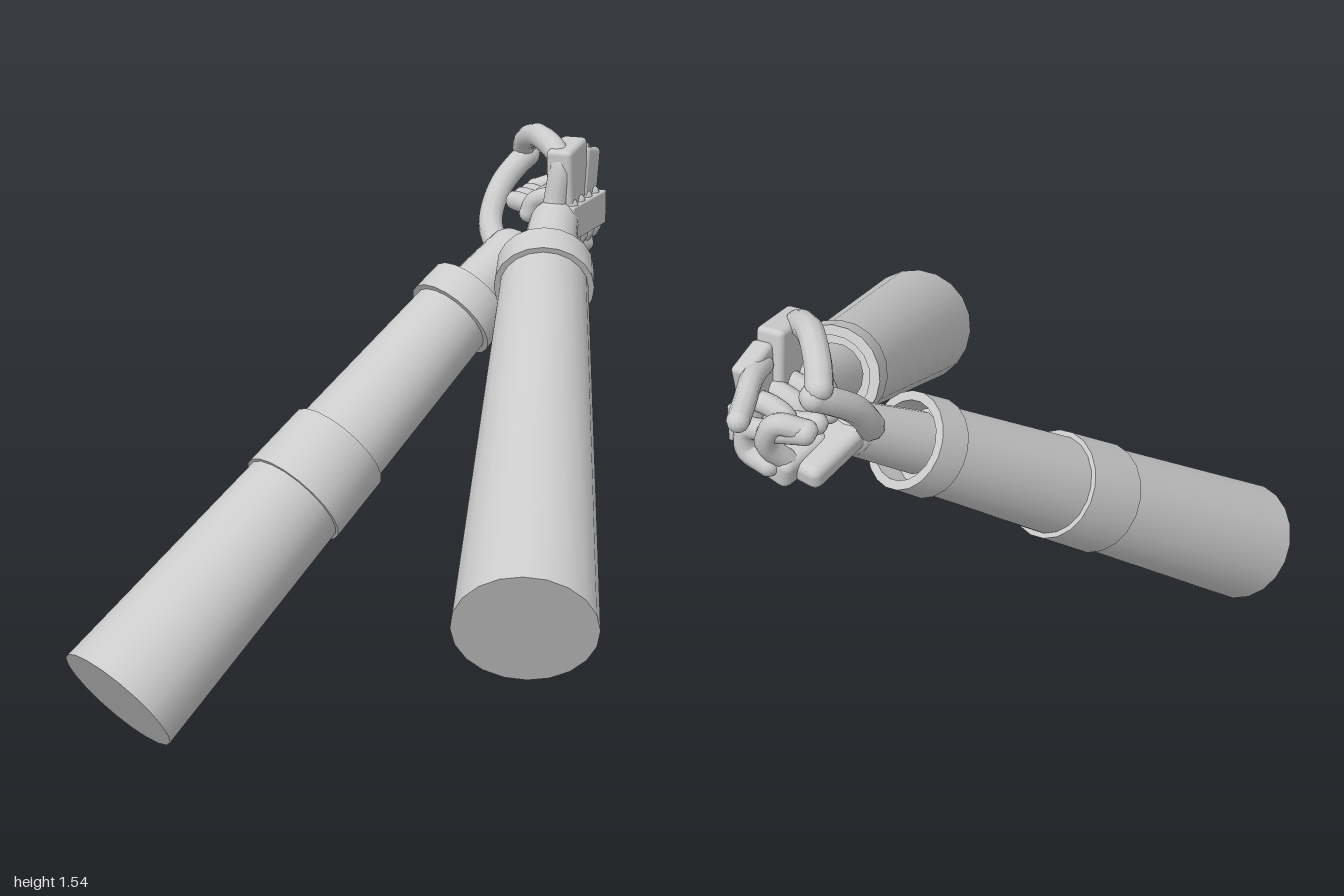
import * as THREE from 'three';
import { toCreasedNormals } from 'three/addons/utils/BufferGeometryUtils.js';
import { RoundedBoxGeometry } from 'three/addons/geometries/RoundedBoxGeometry.js';

const grey = new THREE.MeshStandardMaterial({ color: 0xcccccc });
const greyOpen = new THREE.MeshStandardMaterial({ color: 0xcccccc, side: THREE.DoubleSide });
const V = (p) => new THREE.Vector3(...p);
const UP = new THREE.Vector3(0, 1, 0);

function add(parent, name, geometry, material = grey) {
  const mesh = new THREE.Mesh(geometry, material);
  mesh.name = name;
  parent.add(mesh);
  return mesh;
}

// Revolved sleeve whose axis runs from one point towards another
function sleeve(parent, name, from, to, profile) {
  const points = profile.map(([r, d]) => new THREE.Vector2(r, d));
  const geometry = toCreasedNormals(new THREE.LatheGeometry(points, 20), 0.6);
  const mesh = add(parent, name, geometry, greyOpen);
  mesh.position.copy(V(from));
  mesh.quaternion.setFromUnitVectors(UP, V(to).sub(V(from)).normalize());
}

// Round finger along a smooth path, closed by ball ends
function finger(parent, name, path, radius) {
  const group = new THREE.Group();
  group.name = name;
  parent.add(group);
  const curve = new THREE.CatmullRomCurve3(path.map(V));
  add(group, name + 'Shaft', new THREE.TubeGeometry(curve, 24, radius, 10));
  for (const end of [path[0], path[path.length - 1]]) {
    add(group, name + 'End', new THREE.SphereGeometry(radius, 12, 8)).position.copy(V(end));
  }
}

// Tapered wrist with a rounded hand end
function wrist(parent, from, to, r0, r1) {
  const a = V(from), b = V(to);
  const mesh = add(parent, 'wrist', new THREE.CylinderGeometry(r1, r0, a.distanceTo(b), 16));
  mesh.position.copy(a).lerp(b, 0.5);
  mesh.quaternion.setFromUnitVectors(UP, b.clone().sub(a).normalize());
  add(parent, 'wristEnd', new THREE.SphereGeometry(r1, 16, 12)).position.copy(b);
}

function block(parent, name, size, position, rotation = [0, 0, 0], round = 0.015) {
  const mesh = add(parent, name, new RoundedBoxGeometry(...size, 2, round));
  mesh.position.set(...position);
  mesh.rotation.set(...rotation);
}

function leftArm() {
  const arm = new THREE.Group();
  arm.name = 'leftArm';
  sleeve(arm, 'leftSleeve', [0.61, 0.6, 0.905], [0.175, 1.18, -0.353], [
    [0, 0], [0.188, 0], [0.13, 1.36], [0.147, 1.36], [0.143, 1.46],
    [0.115, 1.46], [0.112, 1.37], [0, 1.37]]);
  wrist(arm, [0.19, 1.16, -0.31], [0.13, 1.265, -0.54], 0.088, 0.075);

  // Back of the hand and the folded finger segments
  block(arm, 'leftPalm', [0.08, 0.21, 0.17], [0.14, 1.395, -0.625], [0.1, 0.05, 0]);
  block(arm, 'leftKnuckles', [0.06, 0.18, 0.13], [0.15, 1.375, -0.745], [-0.2, 0.05, 0]);
  block(arm, 'leftFingerPlate', [0.035, 0.105, 0.27], [0.182, 1.27, -0.675], [0, -0.03, 0], 0.006);
  for (let i = 0; i < 4; i++) {
    const z = -0.575 - i * 0.063;
    finger(arm, 'leftCurledFinger', [
      [0.165, 1.315, z], [0.12, 1.34, z - 0.01], [0.05, 1.32, z - 0.015], [0.03, 1.28, z - 0.015]], 0.03);
  }
  // Pointing finger
  finger(arm, 'leftIndexFinger', [
    [0.14, 1.42, -0.73], [0.115, 1.43, -0.82], [0.085, 1.415, -0.9], [0.06, 1.405, -0.97]], 0.03);
  // Thumb arching across to the other hand
  finger(arm, 'leftThumb', [
    [0.13, 1.33, -0.55], [0.135, 1.455, -0.57], [0.045, 1.505, -0.65],
    [-0.04, 1.475, -0.75], [-0.065, 1.44, -0.79]], 0.037);
  return arm;
}

function rightArm() {
  const arm = new THREE.Group();
  arm.name = 'rightArm';
  sleeve(arm, 'rightSleeve', [-0.61, 0.16, 0.86], [-0.074, 1.06, -0.374], [
    [0, 0], [0.188, 0], [0.158, 0.77], [0.168, 0.77], [0.161, 0.98], [0.146, 0.98],
    [0.125, 1.52], [0.142, 1.52], [0.138, 1.62], [0.112, 1.62], [0.11, 1.53], [0, 1.53]]);
  wrist(arm, [-0.09, 1.04, -0.34], [-0.01, 1.165, -0.53], 0.088, 0.075);

  // Upturned palm with its fingers wrapped around the other hand
  block(arm, 'rightPalm', [0.17, 0.07, 0.23], [0.03, 1.165, -0.65], [-0.2, -0.15, 0.1], 0.025);
  block(arm, 'rightKnuckles', [0.15, 0.09, 0.18], [0.09, 1.17, -0.71], [-0.1, -0.15, 0.25], 0.025);
  for (let i = 0; i < 4; i++) {
    const z = -0.62 - i * 0.06;
    finger(arm, 'rightCurledFinger', [
      [0.09, 1.17, z], [0.155, 1.2, z], [0.15, 1.26, z], [0.06, 1.285, z - 0.01],
      [-0.03, 1.305, z - 0.01]], 0.03);
  }
  // Index finger curling up behind, and thumb rising to the pinch
  finger(arm, 'rightIndexFinger', [
    [0.05, 1.17, -0.76], [0.08, 1.25, -0.82], [0.04, 1.325, -0.83], [-0.03, 1.31, -0.8]], 0.03);
  finger(arm, 'rightThumb', [
    [-0.04, 1.17, -0.52], [-0.1, 1.24, -0.6], [-0.1, 1.33, -0.68],
    [-0.075, 1.39, -0.76], [-0.055, 1.415, -0.8]], 0.038);
  return arm;
}

export function createModel() {
  const model = new THREE.Group();
  model.name = 'claspedArms';
  model.add(leftArm(), rightArm());
  return model;
}
